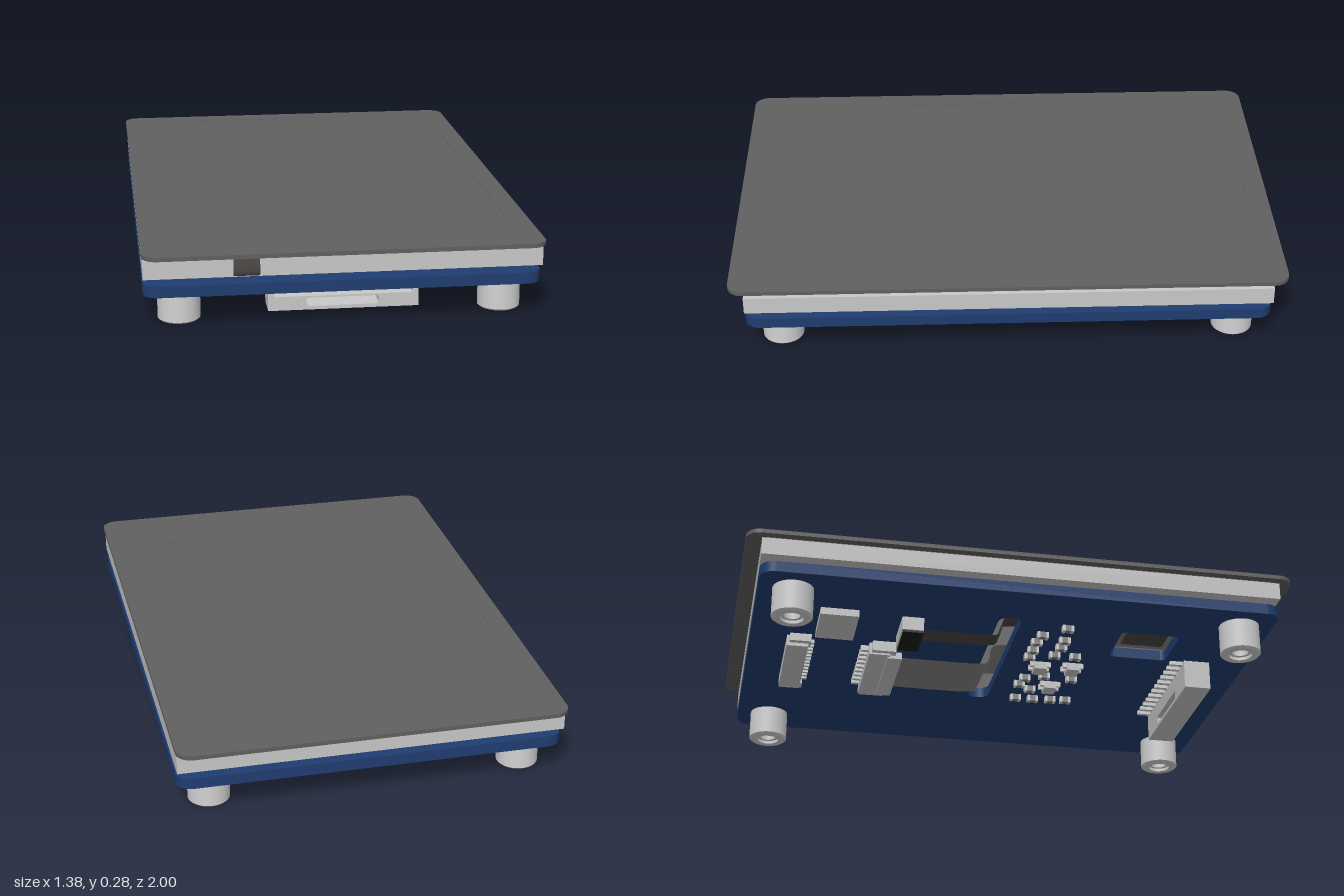
import * as THREE from 'three';

const mat = (name, color) => {
  const m = new THREE.MeshStandardMaterial({ color });
  m.name = name;
  return m;
};

export function createModel() {
  const root = new THREE.Group();
  root.name = 'displayModule';
  const glass = mat('dark glass', 0x606060);
  const light = mat('light grey', 0xc8c8c8);
  const blue = mat('board blue', 0x1f3d70);
  const metal = mat('standoff metal', 0xd2d2d2);
  const grey = mat('ribbon grey', 0x858585);
  const dark = mat('touch ribbon dark', 0x4a4744);
  const black = mat('black plastic', 0x1c1c1c);
  grey.side = dark.side = THREE.DoubleSide;

  const add = (name, geo, material, parent = root) => {
    const mesh = new THREE.Mesh(geo, material);
    mesh.name = name;
    parent.add(mesh);
    return mesh;
  };
  // Box given by its limits on each axis
  const box = (name, x0, x1, y0, y1, z0, z1, material, parent) => {
    const mesh = add(name, new THREE.BoxGeometry(x1 - x0, y1 - y0, z1 - z0), material, parent);
    mesh.position.set((x0 + x1) / 2, (y0 + y1) / 2, (z0 + z1) / 2);
    return mesh;
  };
  // Rounded rectangle outline
  const rounded = (x0, x1, y0, y1, r, P = THREE.Shape) => {
    const s = new P();
    s.absarc(x1 - r, y1 - r, r, 0, Math.PI / 2);
    s.absarc(x0 + r, y1 - r, r, Math.PI / 2, Math.PI);
    s.absarc(x0 + r, y0 + r, r, Math.PI, Math.PI * 1.5);
    s.absarc(x1 - r, y0 + r, r, Math.PI * 1.5, Math.PI * 2);
    s.closePath();
    return s;
  };
  const hole = (x0, x1, y0, y1, r) => rounded(x0, x1, y0, y1, r, THREE.Path);
  const extrude = (shape, depth) =>
    new THREE.ExtrudeGeometry(shape, { depth, bevelEnabled: false, curveSegments: 8 });
  // Horizontal slab from y0 to y1 (outline drawn with y = -z)
  const slab = (name, shape, y0, y1, material) => {
    const mesh = add(name, extrude(shape, y1 - y0).rotateX(-Math.PI / 2), material);
    mesh.position.y = y0;
    return mesh;
  };

  // Cover glass with a very shallow recessed viewing area
  slab('coverGlass', rounded(-0.69, 0.69, -1, 1, 0.055), 0.26, 0.2735, glass);
  const rim = rounded(-0.69, 0.69, -1, 1, 0.055);
  rim.holes.push(hole(-0.615, 0.615, -0.72, 0.92, 0.003));
  slab('glassRim', rim, 0.2735, 0.275, glass);
  box('adhesiveLayer', -0.66, 0.66, 0.244, 0.26, -0.93, 0.93, glass);
  box('displayPanel', -0.685, 0.685, 0.18, 0.244, -0.945, 0.943, light);

  // Circuit board with a ribbon slot and a square window
  const board = rounded(-0.685, 0.685, -0.945, 0.945, 0.055);
  board.holes.push(hole(-0.48, 0.24, -0.025, 0.06, 0.04));
  board.holes.push(hole(-0.44, -0.23, -0.63, -0.41, 0.02));
  slab('circuitBoard', board, 0.115, 0.155, blue);

  // Four hollow standoffs
  const profile = [[0, 0.07], [0.03, 0.07], [0.03, 0.012], [0.042, 0.012], [0.042, 0],
    [0.067, 0], [0.074, 0.006], [0.074, 0.115], [0, 0.115]];
  // Doubled corner points keep the edges crisp
  const pts = profile.flatMap(([r, y]) => [new THREE.Vector2(r, y), new THREE.Vector2(r, y)]);
  for (const x of [-0.56, 0.56]) for (const z of [-0.82, 0.82])
    add('standoff', new THREE.LatheGeometry(pts, 32), metal).position.set(x, 0, z);

  // Ribbons swept along a path of [z, y] points
  const ribbon = (name, x0, x1, path, material) => {
    const curve = new THREE.CatmullRomCurve3(
      path.map(([z, y]) => new THREE.Vector3(0, y, z)), false, 'centripetal');
    const n = 80;
    const geo = new THREE.PlaneGeometry(1, 1, 1, n);
    const pos = geo.attributes.position;
    curve.getPoints(n).forEach((p, i) => {
      pos.setXYZ(i * 2, x0, p.y, p.z);
      pos.setXYZ(i * 2 + 1, x1, p.y, p.z);
    });
    geo.computeVertexNormals();
    add(name, geo, material);
  };
  const bend = [[0.02, 0.176], [-0.015, 0.17], [-0.03, 0.15], [-0.033, 0.115], [-0.045, 0.095], [-0.07, 0.09]];
  ribbon('displayRibbon', -0.125, 0.14, [[0.9, 0.177], [0.3, 0.177], ...bend, [-0.39, 0.088]], grey);
  ribbon('touchRibbon', -0.38, -0.29,
    [[0.945, 0.255], [0.948, 0.24], [0.948, 0.19], [0.935, 0.177], [0.9, 0.176], [0.3, 0.176], ...bend, [-0.34, 0.088]], dark);
  box('touchRibbonPad', -0.46, -0.2, 0.174, 0.179, 0.4, 0.66, grey);
  box('touchChip', -0.415, -0.26, 0.156, 0.174, 0.45, 0.61, dark);
  box('displayRibbonStiffener', -0.125, 0.14, 0.157, 0.175, 0.45, 0.61, dark);

  // Edge connector: slotted housing, recessed mouth and a row of pins
  const header = new THREE.Group();
  header.name = 'edgeConnector';
  root.add(header);
  const housing = (mouth) => {
    const s = rounded(-0.25, 0.28, 0.002, 0.113, 0.002);
    s.holes.push(hole(-0.115, 0.14, 0.015, 0.045, 0.008));
    if (mouth) s.holes.push(hole(-0.23, 0.26, 0.052, 0.102, 0.002));
    return s;
  };
  add('housingBack', extrude(housing(false), 0.04), light, header).position.z = 0.7;
  add('housingFront', extrude(housing(true), 0.06), light, header).position.z = 0.74;
  for (let i = 0; i < 12; i++) {
    const x = -0.225 + i * 0.0436;
    box('pin', x - 0.008, x + 0.008, 0.1, 0.115, 0.65, 0.7, metal, header);
  }

  // Display ribbon connector with end ears and a row of contacts
  box('ribbonConnector', -0.18, 0.19, 0.068, 0.115, -0.5, -0.42, light);
  box('ribbonConnectorLatch', -0.165, 0.175, 0.063, 0.09, -0.43, -0.375, light);
  for (const x of [-0.18, 0.19]) box('connectorEar', x - 0.02, x + 0.02, 0.075, 0.115, -0.49, -0.4, light);
  for (let i = 0; i < 9; i++) {
    const x = -0.145 + i * 0.0375;
    box('contact', x - 0.008, x + 0.008, 0.095, 0.115, -0.53, -0.5, metal);
  }

  // Touch ribbon connector with a black latch underneath
  box('touchConnector', -0.42, -0.25, 0.064, 0.115, -0.41, -0.33, light);
  box('touchConnectorLatch', -0.415, -0.255, 0.056, 0.064, -0.405, -0.33, black);

  // Rear socket and thin card slot
  box('rearSocket', -0.19, 0.19, 0.072, 0.115, -0.81, -0.73, light);
  for (const x of [-0.19, 0.19]) box('rearSocketEar', x - 0.02, x + 0.02, 0.085, 0.115, -0.8, -0.72, light);
  for (let i = 0; i < 12; i++) {
    const x = -0.16 + i * 0.029;
    box('rearContact', x - 0.006, x + 0.006, 0.1, 0.115, -0.73, -0.705, metal);
  }
  box('cardSlot', -0.44, -0.24, 0.088, 0.115, -0.71, -0.57, light);

  // Small packages with legs
  for (const [x, z] of [[0.06, 0.24], [-0.12, 0.29], [-0.11, 0.165]]) {
    box('smallChip', x - 0.03, x + 0.03, 0.083, 0.11, z - 0.024, z + 0.024, light);
    for (const dx of [-0.018, 0.018])
      box('chipLegs', x + dx - 0.006, x + dx + 0.006, 0.095, 0.115, z - 0.04, z + 0.04, metal);
  }

  // Scattered surface components
  const parts = [[0.19, 0.13], [0.19, 0.2], [0.185, 0.27], [0.18, 0.33], [0.06, 0.12], [0.0, 0.13],
    [-0.03, 0.2], [-0.02, 0.31], [-0.19, 0.11], [-0.25, 0.11], [-0.32, 0.11], [-0.38, 0.12],
    [-0.22, 0.2], [-0.29, 0.21], [-0.35, 0.21], [-0.45, 0.2], [-0.22, 0.28], [0.1, 0.17]];
  for (const [x, z] of parts) {
    box('component', x - 0.011, x + 0.011, 0.092, 0.115, z - 0.012, z + 0.012, grey);
    for (const s of [-1, 1])
      box('componentEnd', x - 0.012, x + 0.012, 0.091, 0.115, z + s * 0.016 - 0.005, z + s * 0.016 + 0.005, metal);
  }
  return root;
}
